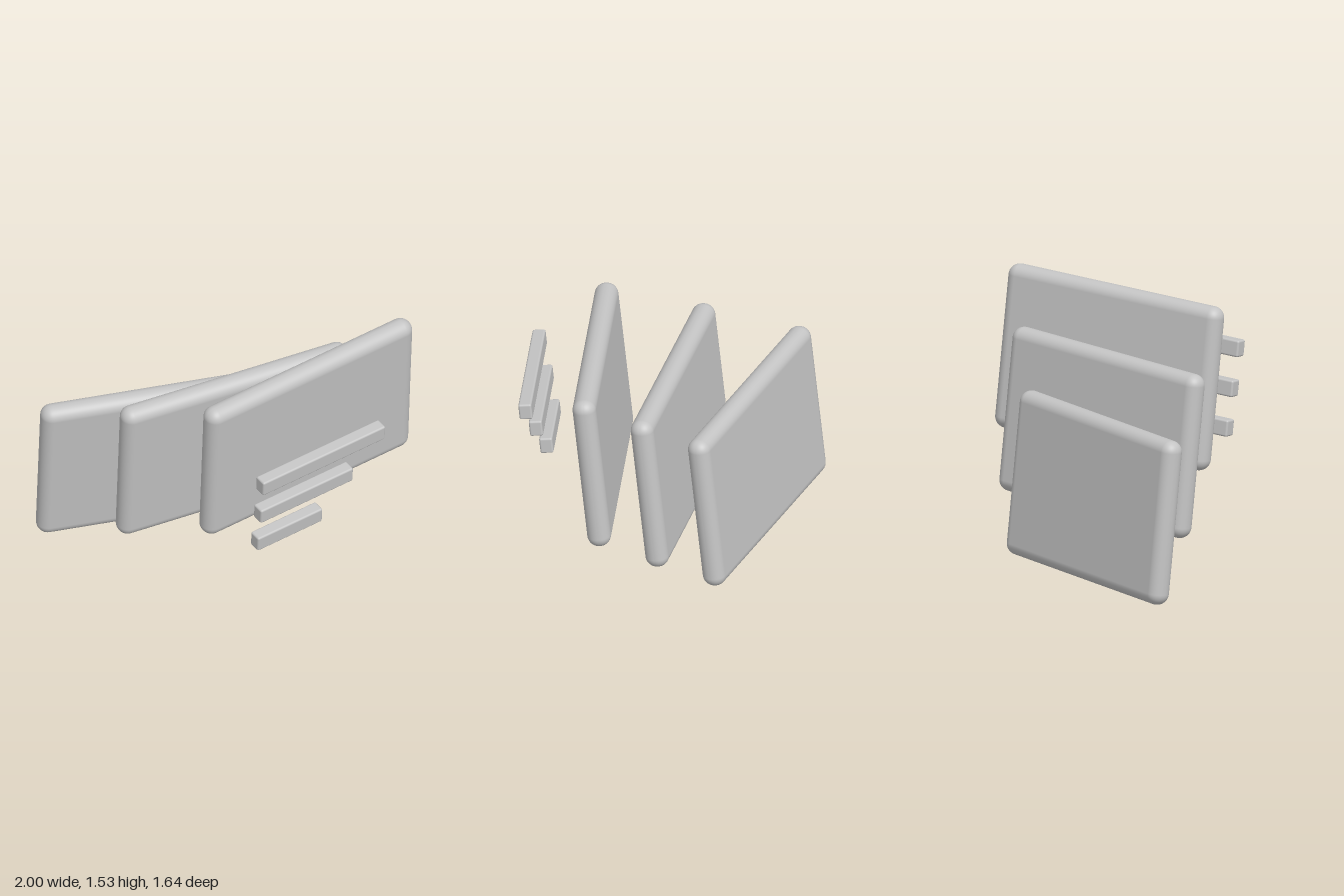
import * as THREE from 'three';
import { RoundedBoxGeometry } from 'three/addons/geometries/RoundedBoxGeometry.js';

export function createModel() {
  const model = new THREE.Group();
  const grey = new THREE.MeshStandardMaterial({ color: 0xc4c4c4 });
  grey.name = 'grey';

  // Place a rounded box by its centre, its width direction and its (roughly) upward direction
  function addBlock(name, size, radius, centre, across, up) {
    const x = new THREE.Vector3(...across).normalize();
    const z = new THREE.Vector3().crossVectors(x, new THREE.Vector3(...up)).normalize();
    const y = new THREE.Vector3().crossVectors(z, x);
    const mesh = new THREE.Mesh(new RoundedBoxGeometry(...size, 5, radius), grey);
    mesh.name = name;
    mesh.quaternion.setFromRotationMatrix(new THREE.Matrix4().makeBasis(x, y, z));
    mesh.position.set(...centre);
    model.add(mesh);
  }

  // Three fanned cards, each leaning slightly forward
  const card = [1.47, 0.987, 0.14];
  const up = [-0.028, 1, 0.11];
  const frontAcross = [1, 0.042, -0.104];
  addBlock('frontCard', card, 0.068, [0.253, 1.02, 0.278], frontAcross, up);
  addBlock('middleCard', card, 0.068, [-0.012, 0.76, -0.132], [1, 0.022, 0.07], up);
  addBlock('backCard', card, 0.068, [-0.273, 0.5, -0.537], [0.969, 0, 0.248], up);

  // Three text-line bars floating in front, parallel to the front card
  const bars = [
    ['topBar', 0.88, [0.098, 1.142, 0.73]],
    ['middleBar', 0.665, [0, 0.902, 0.698]],
    ['bottomBar', 0.465, [-0.095, 0.665, 0.665]],
  ];
  for (const [name, length, centre] of bars) {
    addBlock(name, [length, 0.1, 0.078], 0.012, centre, frontAcross, up);
  }

  return model;
}
